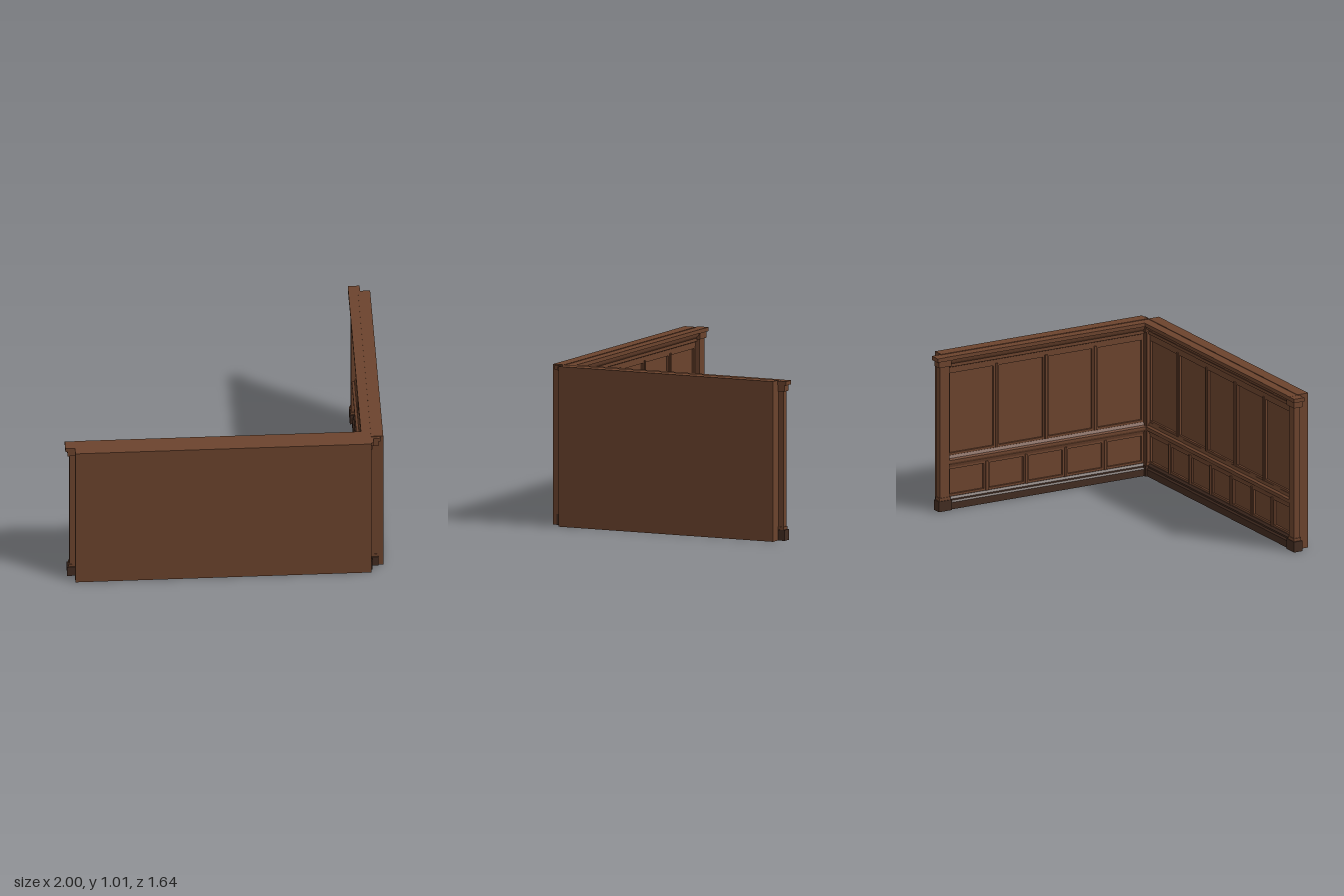
import * as THREE from 'three';

const wood = new THREE.MeshStandardMaterial({ color: 0x6b432d });
wood.name = 'brown wood';
const darkWood = new THREE.MeshStandardMaterial({ color: 0x422b20 });
darkWood.name = 'dark base wood';

const H = 1.015;

// Box given by its ranges along the wall, in height and in depth (d grows towards the room)
function block(name, x0, x1, y0, y1, d0, d1, material = wood) {
  const mesh = new THREE.Mesh(new THREE.BoxGeometry(x1 - x0, y1 - y0, d1 - d0), material);
  mesh.position.set((x0 + x1) / 2, (y0 + y1) / 2, -(d0 + d1) / 2);
  mesh.name = name;
  return mesh;
}

// Moulding: a (depth, height) profile run along the whole wall
function moulding(name, length, profile, material = wood) {
  const shape = new THREE.Shape(profile.map(([d, y]) => new THREE.Vector2(d, y)));
  const geo = new THREE.ExtrudeGeometry(shape, { depth: length, bevelEnabled: false });
  geo.rotateY(Math.PI / 2).translate(-length / 2, 0, 0);
  const mesh = new THREE.Mesh(geo, material);
  mesh.name = name;
  return mesh;
}

// Raised rectangular frame with an open middle
function frame(name, x0, x1, y0, y1, width, d) {
  const rect = (Type, a, b, c, e) => new Type().moveTo(a, c).lineTo(b, c).lineTo(b, e).lineTo(a, e).closePath();
  const shape = rect(THREE.Shape, x0, x1, y0, y1);
  shape.holes.push(rect(THREE.Path, x0 + width, x1 - width, y0 + width, y1 - width));
  const mesh = new THREE.Mesh(new THREE.ExtrudeGeometry(shape, { depth: d, bevelEnabled: false }), wood);
  mesh.position.z = -d;
  mesh.name = name;
  return mesh;
}

// Row of framed panels separated by stiles
function panelRow(name, length, count, y0, y1) {
  const row = new THREE.Group();
  row.name = name;
  const pitch = length / count;
  for (let i = 0; i < count; i++) {
    const x = -length / 2 + i * pitch;
    row.add(frame('panelFrame', x + 0.006, x + pitch - 0.006, y0, y1, 0.014, 0.014));
    if (i > 0) row.add(block('stile', x - 0.008, x + 0.008, y0, y1, 0, 0.022));
  }
  return row;
}

// Square pilaster with stepped base and capital, centred on a wall end
function pilaster(x) {
  const g = new THREE.Group();
  g.name = 'pilaster';
  const tiers = [
    ['plinth', 0.048, 0, 0.068, -0.008, 0.053, darkWood],
    ['plinthStep', 0.039, 0.068, 0.087, -0.003, 0.048, wood],
    ['shaft', 0.034, 0.087, 0.945, 0.001, 0.044, wood],
    ['capitalNeck', 0.046, 0.945, 0.985, -0.008, 0.052, wood],
    ['capitalTop', 0.06, 0.985, 1.01, -0.014, 0.06, wood],
  ];
  for (const [name, half, y0, y1, d0, d1, mat] of tiers) {
    g.add(block(name, x - half, x + half, y0, y1, d0, d1, mat));
  }
  return g;
}

function wall(name, length, upperPanels, lowerPanels) {
  const g = new THREE.Group();
  g.name = name;
  g.add(block('slab', -length / 2, length / 2, 0, H, -0.077, 0));
  g.add(moulding('baseboard', length,
    [[0, 0], [0.04, 0], [0.04, 0.045], [0.03, 0.055], [0.03, 0.065], [0.018, 0.078], [0, 0.078]], darkWood));
  g.add(moulding('chairRail', length,
    [[0, 0.27], [0.015, 0.27], [0.02, 0.285], [0.036, 0.297], [0.04, 0.305], [0.04, 0.322],
      [0.024, 0.33], [0.016, 0.348], [0, 0.348]]));
  g.add(moulding('cornice', length,
    [[0, 0.9], [0.014, 0.9], [0.014, 0.925], [0.024, 0.93], [0.024, 0.95], [0.04, 0.965],
      [0.048, 0.985], [0.06, 0.987], [0.06, 1.011], [0, 1.011]]));
  const inner = length - 0.07;
  g.add(panelRow('upperPanels', inner, upperPanels, 0.348, 0.9));
  g.add(panelRow('lowerPanels', inner, lowerPanels, 0.078, 0.27));
  g.add(pilaster(-length / 2), pilaster(length / 2));
  return g;
}

export function createModel() {
  const model = new THREE.Group();
  model.name = 'panelledCornerWall';

  // Long wall along x, panelled towards the back
  const front = wall('frontWall', 1.86, 5, 7);
  front.position.set(-0.01, 0, 0.742);

  // Shorter wall along z, panelled towards -x
  const side = wall('sideWall', 1.5, 4, 5);
  side.rotation.y = Math.PI / 2;
  side.position.set(0.92, 0, -0.01);

  model.add(front, side);
  return model;
}
